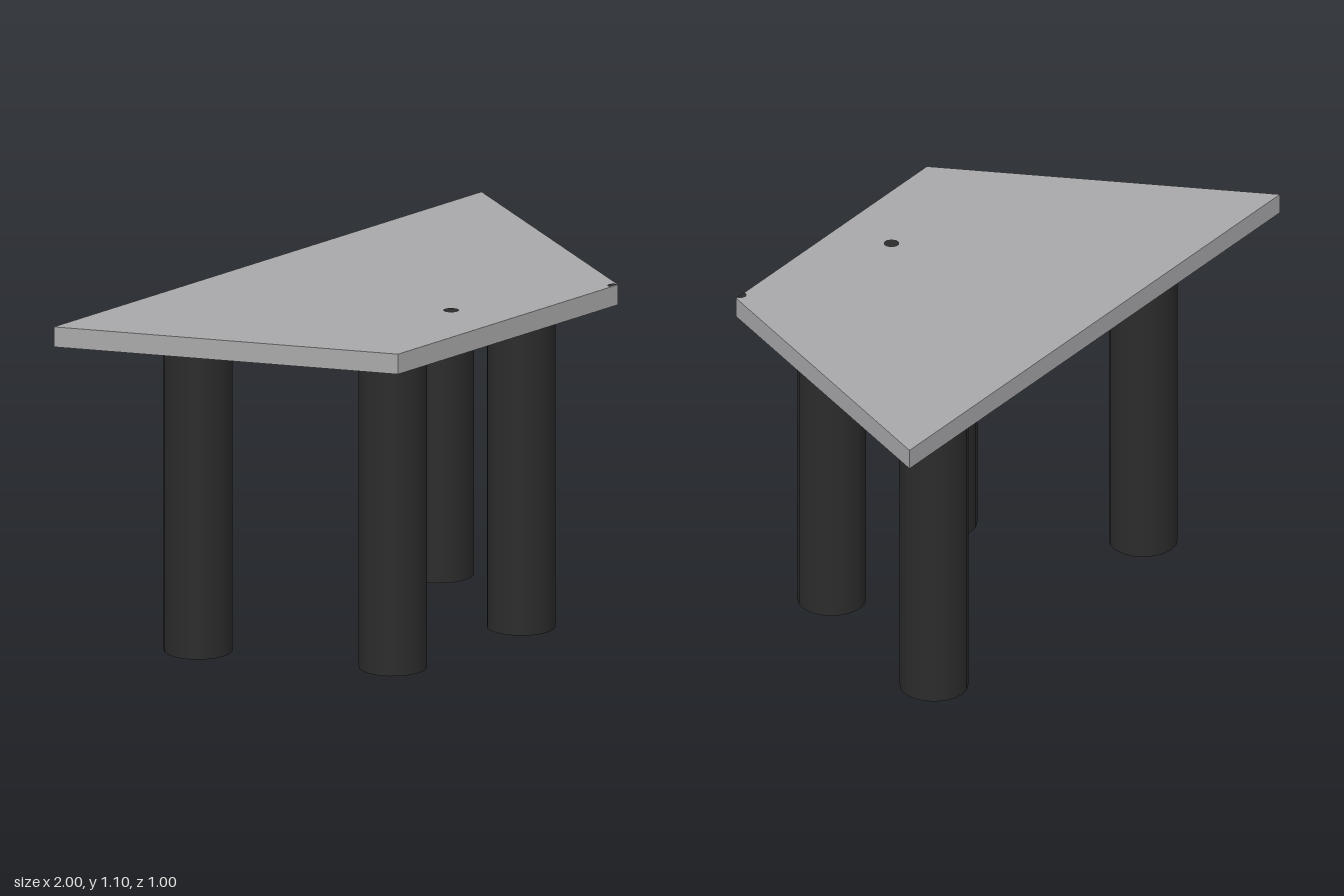
import * as THREE from 'three';

export function createModel() {
  const model = new THREE.Group();
  const grey = new THREE.MeshStandardMaterial({ color: 0xa8a8aa });
  grey.name = 'grey';
  const black = new THREE.MeshStandardMaterial({ color: 0x2b2b2b });
  black.name = 'black';

  const add = (name, geometry, material, x, y, z) => {
    const mesh = new THREE.Mesh(geometry, material);
    mesh.name = name;
    mesh.position.set(x, y, z);
    model.add(mesh);
    return mesh;
  };

  const legHeight = 1.035, thickness = 0.065, top = legHeight + thickness;

  // Trapezoid tabletop, wide at the back
  const outline = new THREE.Shape([
    new THREE.Vector2(-0.515, -0.5), new THREE.Vector2(0.515, -0.5),
    new THREE.Vector2(1, 0.5), new THREE.Vector2(-1, 0.5),
  ]);
  const slab = new THREE.ExtrudeGeometry(outline, { depth: thickness, bevelEnabled: false });
  slab.rotateX(-Math.PI / 2);
  add('tabletop', slab, grey, 0, legHeight, 0);

  // Round black legs with grey end caps
  const leg = new THREE.CylinderGeometry(0.107, 0.107, legHeight, 20);
  for (const side of [-1, 1]) {
    const label = side > 0 ? 'Left' : 'Right';
    add('front' + label + 'Leg', leg, [black, grey, grey], side * 0.3, legHeight / 2, 0.288);
    add('back' + label + 'Leg', leg, [black, grey, grey], side * 0.565, legHeight / 2, -0.287);
  }

  // Small dark marks on the tabletop
  const dot = new THREE.CircleGeometry(0.025, 10).rotateX(-Math.PI / 2);
  add('topDot', dot, black, -0.047, top + 0.002, 0.305);
  const halfDot = new THREE.CircleGeometry(0.02, 6, 0, Math.PI).rotateX(-Math.PI / 2);
  add('edgeDot', halfDot, black, 0.493, top + 0.002, 0.5);

  return model;
}
